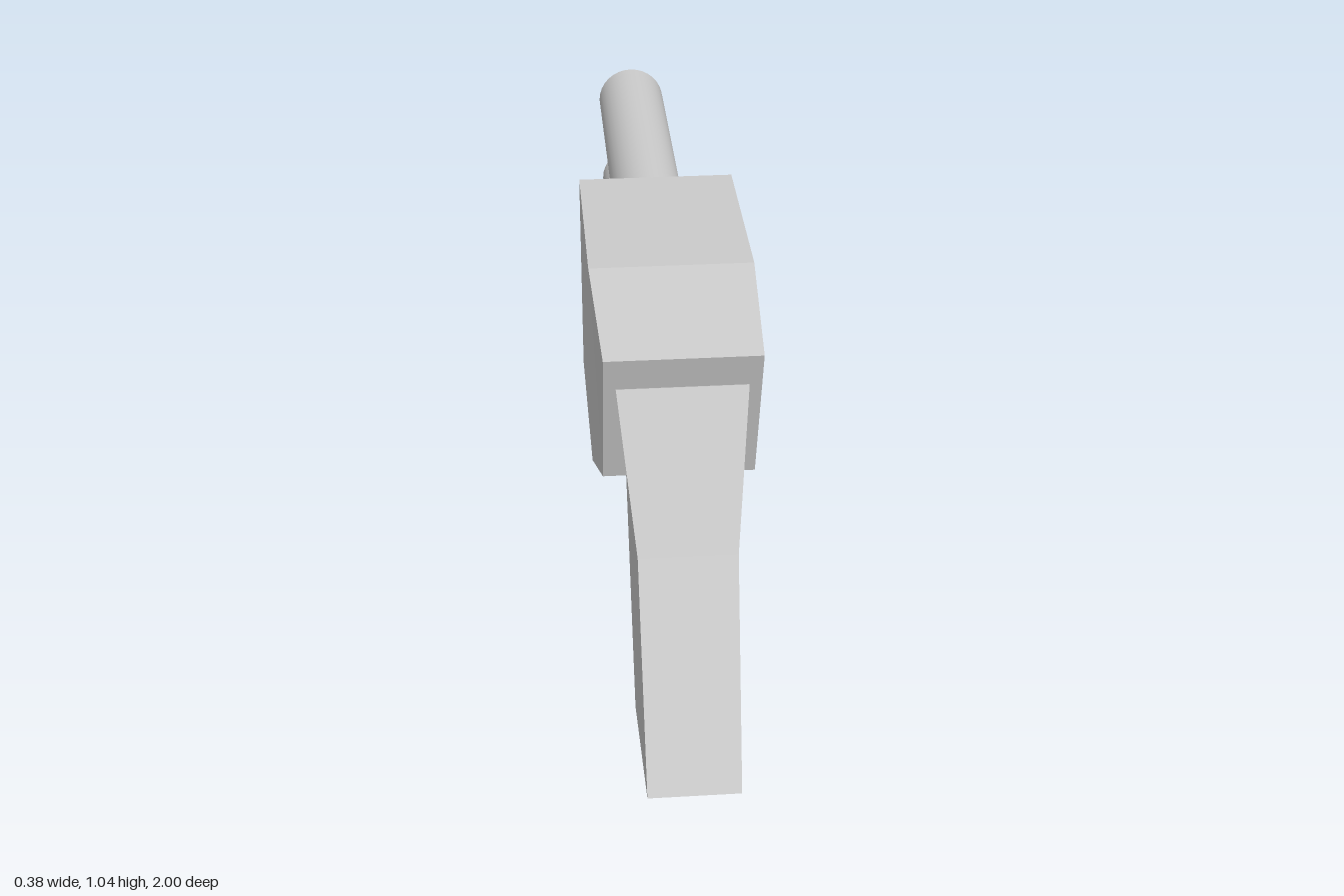
import * as THREE from 'three';
import { toCreasedNormals } from 'three/addons/utils/BufferGeometryUtils.js';

const flat = new THREE.MeshStandardMaterial({ color: 0xcccccc, flatShading: true });
const smooth = new THREE.MeshStandardMaterial({ color: 0xcccccc, side: THREE.DoubleSide });

function add(group, name, geometry, material) {
  const mesh = new THREE.Mesh(geometry, material);
  mesh.name = name;
  group.add(mesh);
  return mesh;
}

// Lofts four-cornered sections: [x centre, half width, z1, y1, z2, y2]
function loft(sections) {
  const pos = [], index = [];
  for (const [cx, w, z1, y1, z2, y2] of sections) {
    pos.push(cx - w, y1, z1, cx + w, y1, z1, cx + w, y2, z2, cx - w, y2, z2);
  }
  for (let i = 0; i < sections.length - 1; i++) {
    for (let j = 0; j < 4; j++) {
      const a = i * 4 + j, b = i * 4 + (j + 1) % 4;
      index.push(a, b, b + 4, a, b + 4, a + 4);
    }
  }
  const e = (sections.length - 1) * 4;
  index.push(0, 2, 1, 0, 3, 2, e, e + 1, e + 2, e, e + 2, e + 3);
  const geometry = new THREE.BufferGeometry();
  geometry.setAttribute('position', new THREE.Float32BufferAttribute(pos, 3));
  geometry.setIndex(index);
  const result = geometry.toNonIndexed();
  result.computeVertexNormals();
  return result;
}

// Hollow barrel along -z
function barrel(length) {
  const profile = [[0.073, 0], [0.09, 0], [0.09, length], [0.073, length], [0.073, 0]]
    .map(([r, y]) => new THREE.Vector2(r, y));
  return toCreasedNormals(new THREE.LatheGeometry(profile, 32), 0.6).rotateX(-Math.PI / 2);
}

export function createModel() {
  const model = new THREE.Group();
  model.name = 'toyBlaster';

  // Body, rear to front, with a small bevel at the front
  add(model, 'body', loft([
    [0, 0.175, 0.617, 0.99, 0.513, 0.625],
    [0, 0.19, 0.29, 1.045, 0.3, 0.53],
    [0, 0.19, -0.193, 1.04, -0.193, 0.513],
    [0, 0.18, -0.205, 1.03, -0.205, 0.523],
  ]), flat);

  // Grip, top to bottom
  add(model, 'grip', loft([
    [0, 0.147, 0.2, 0.84, 0.595, 0.905],
    [0, 0.112, 0.325, 0.545, 0.755, 0.565],
    [-0.004, 0.106, 0.595, 0.005, 1.0, 0.085],
  ]), flat);

  // Small spur at the lower front corner of the grip
  const spur = add(model, 'gripSpur', new THREE.ConeGeometry(0.01, 0.08, 3).rotateX(-Math.PI / 2), flat);
  spur.position.set(0.09, 0.021, 0.575);

  // Barrels, upper and lower
  for (const [name, y, end] of [['upperBarrel', 0.91, 1.0], ['lowerBarrel', 0.73, 0.86]]) {
    add(model, name, barrel(end - 0.19), smooth).position.set(-0.01, y, -0.19);
  }

  // Trigger guard, drawn as (z, y)
  const points = (list) => list.map(([z, y]) => new THREE.Vector2(z, y));
  const outline = new THREE.Shape(points([
    [-0.095, 0.55], [-0.095, 0.435], [-0.02, 0.3], [0.065, 0.252], [0.3, 0.265],
    [0.39, 0.283], [0.44, 0.315], [0.46, 0.36], [0.37, 0.55],
  ]));
  outline.holes.push(new THREE.Path(points([
    [0.065, 0.525], [0.055, 0.46], [0.07, 0.4], [0.125, 0.3], [0.24, 0.305],
    [0.31, 0.337], [0.345, 0.39], [0.32, 0.485], [0.24, 0.525],
  ])));
  const guard = new THREE.ExtrudeGeometry(outline, { depth: 0.08, bevelEnabled: false });
  guard.translate(0, 0, -0.04).rotateY(-Math.PI / 2);
  add(model, 'triggerGuard', guard, flat);

  return model;
}
